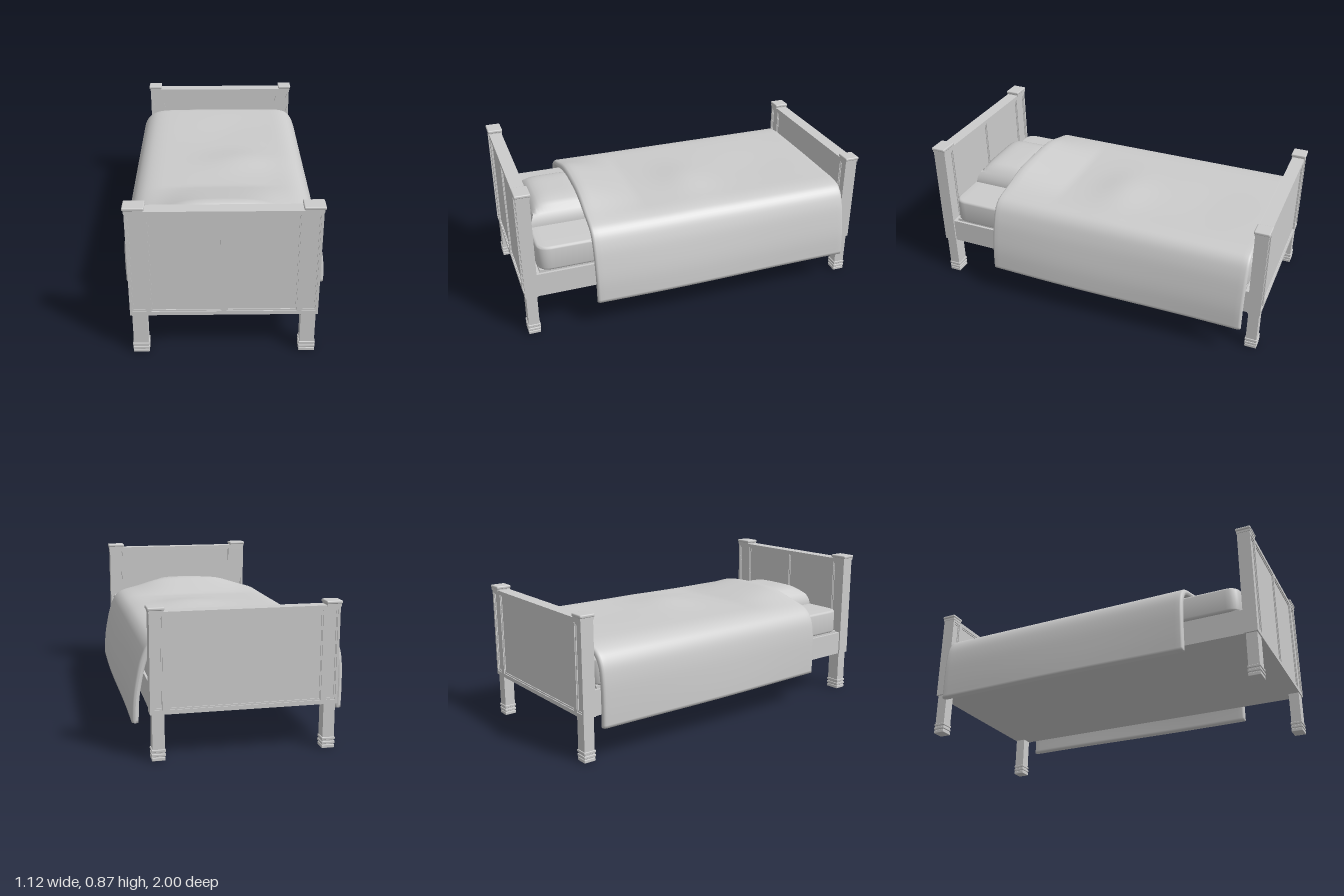
import * as THREE from 'three';
import { RoundedBoxGeometry } from 'three/addons/geometries/RoundedBoxGeometry.js';
import { toCreasedNormals } from 'three/addons/utils/BufferGeometryUtils.js';

const material = new THREE.MeshStandardMaterial({ color: 0xcccccc });

function add(parent, name, geometry, x = 0, y = 0, z = 0) {
  const mesh = new THREE.Mesh(geometry, material);
  mesh.name = name;
  mesh.position.set(x, y, z);
  parent.add(mesh);
  return mesh;
}

function rectPath(path, x0, y0, x1, y1) {
  path.moveTo(x0, y0);
  path.lineTo(x1, y0);
  path.lineTo(x1, y1);
  path.lineTo(x0, y1);
  path.closePath();
  return path;
}

// Flat frame with rectangular openings, centred on its depth
function frameGeometry(half, y0, y1, openings, inset, depth) {
  const shape = rectPath(new THREE.Shape(), -half, y0, half, y1);
  for (const [a, b] of openings) {
    shape.holes.push(rectPath(new THREE.Path(), a + inset, y0 + 0.022 + inset, b - inset, y1 - 0.022 - inset));
  }
  return new THREE.ExtrudeGeometry(shape, { depth, bevelEnabled: false }).translate(0, 0, -depth / 2);
}

// Panelled end board with posts, caps and banded feet
function endBoard(name, z, top, panels, post) {
  const board = new THREE.Group();
  board.name = name;
  board.position.z = z;
  const half = 0.483, bottom = 0.24;
  const openings = [[-0.47, -0.47 + post.recess], ...panels, [0.47 - post.recess, 0.47]];
  add(board, 'frame', frameGeometry(half, bottom, top, openings, 0, 0.072));
  add(board, 'panelMoulding', frameGeometry(half - 0.002, bottom + 0.002, top - 0.002, openings, 0.006, 0.062));
  add(board, 'panel', new THREE.BoxGeometry(0.95, top - bottom - 0.02, 0.052), 0, (top + bottom) / 2);
  for (const s of [-1, 1]) {
    const legX = s * (0.473 - post.leg / 2);
    const capX = s * (0.492 - post.cap / 2);
    add(board, 'leg', new THREE.BoxGeometry(post.leg, 0.26, 0.06), legX, 0.13);
    // Bands around the foot: centre height, height, overhang
    for (const [y, h, o] of [[0.009, 0.018, 0.007], [0.03, 0.014, 0.01], [0.052, 0.014, 0.01]]) {
      add(board, 'footBand', new RoundedBoxGeometry(post.leg + o, h, 0.06 + o, 1, 0.003), legX, y);
    }
    add(board, 'capNeck', new THREE.BoxGeometry(post.cap - 0.012, 0.014, 0.078), capX, top);
    add(board, 'cap', new RoundedBoxGeometry(post.cap, 0.017, 0.085, 2, 0.006), capX, top + 0.0145);
  }
  return board;
}

// Slab with rounded plan corners and softened top and bottom edges
function slabGeometry(w, h, d, r, bevel) {
  const x = w / 2 - bevel, z = d / 2 - bevel;
  const s = new THREE.Shape();
  s.moveTo(-x + r, -z);
  s.lineTo(x - r, -z);
  s.quadraticCurveTo(x, -z, x, -z + r);
  s.lineTo(x, z - r);
  s.quadraticCurveTo(x, z, x - r, z);
  s.lineTo(-x + r, z);
  s.quadraticCurveTo(-x, z, -x, z - r);
  s.lineTo(-x, -z + r);
  s.quadraticCurveTo(-x, -z, -x + r, -z);
  const g = new THREE.ExtrudeGeometry(s, {
    depth: h - 2 * bevel, bevelThickness: bevel, bevelSize: bevel, bevelSegments: 3, curveSegments: 6,
  });
  g.translate(0, 0, -(h - 2 * bevel) / 2).rotateX(-Math.PI / 2);
  return toCreasedNormals(g, 0.7);
}

// Pillow: a boxy block whose top swells and whose edges taper
function pillowGeometry(w, h, d) {
  const g = new RoundedBoxGeometry(w, h, d, 6, 0.03);
  const flat = new THREE.BoxGeometry(1, 1, 1, 16, 6, 16);
  const p = flat.attributes.position;
  for (let i = 0; i < p.count; i++) {
    const x = p.getX(i) * 2, y = p.getY(i) + 0.5, z = p.getZ(i) * 2;
    const dome = Math.pow((1 - Math.pow(Math.abs(x), 4)) * (1 - Math.pow(Math.abs(z), 4)), 0.6);
    const taper = 1 - 0.1 * y * y;
    p.setXYZ(i, x * w / 2 * taper, y * h * (0.55 + 0.45 * dome), z * d / 2 * taper);
  }
  g.dispose();
  return toCreasedNormals(flat, 0.8);
}

// Draped blanket: a thick cross-section swept along z, raised over the pillow
function blanketGeometry() {
  const outline = new THREE.SplineCurve([
    [-0.557, 0.188], [-0.557, 0.3], [-0.551, 0.43], [-0.532, 0.52], [-0.488, 0.577], [-0.41, 0.604],
    [-0.25, 0.61], [0, 0.612], [0.25, 0.61], [0.4, 0.606], [0.468, 0.572], [0.507, 0.495],
    [0.533, 0.39], [0.549, 0.29], [0.555, 0.178],
  ].map(([x, y]) => new THREE.Vector2(x, y)));
  const N = 70, rings = 56, z0 = -0.91, z1 = 0.612;
  const thick = 0.036, count = 2 * (N + 1);
  const outer = [], inward = [];
  for (let k = 0; k <= N; k++) {
    const t = outline.getTangent(k / N);
    outer.push(outline.getPoint(k / N));
    inward.push(new THREE.Vector2(t.y, -t.x));
  }
  const lift = (x, z) => {
    const rise = THREE.MathUtils.clamp((z - 0.28) / 0.3, 0, 1);
    const drop = THREE.MathUtils.clamp((z - 0.58) / 0.03, 0, 1);
    return (0.072 * rise - 0.012 * drop) * Math.exp(-Math.pow((x + 0.015) / 0.32, 4))
      + 0.022 * Math.exp(-(((x - 0.1) / 0.2) ** 2) - ((z + 0.05) / 0.15) ** 2)
      - 0.008 * Math.exp(-(((x - 0.05) / 0.2) ** 2) - ((z + 0.55) / 0.2) ** 2);
  };
  // Ring positions are crowded at both ends, where the hem rounds off
  const stations = [[z0, 0], [z0 + 0.002, 0.5], [z0 + 0.007, 0.85], [z0 + 0.016, 1]];
  for (let i = 1; i < rings; i++) stations.push([z0 + 0.016 + (z1 - z0 - 0.032) * i / rings, 1]);
  stations.push([z1 - 0.016, 1], [z1 - 0.007, 0.85], [z1 - 0.002, 0.5], [z1, 0]);
  const pos = [], idx = [];
  stations.forEach(([z, f], i) => {
    for (let j = 0; j < count; j++) {
      const isOuter = j <= N;
      const k = isOuter ? j : count - 1 - j;
      const depth = thick / 2 * (isOuter ? 1 - f : 1 + f);
      const o = outer[k];
      const side = THREE.MathUtils.clamp((0.5 - o.y) / 0.3, 0, 1);
      const wave = side * 0.005 * Math.sin(z * 4 + o.x * 2);
      const zEdge = z - 0.01 * Math.max(0, z) * Math.exp(-((o.x / 0.3) ** 2));
      pos.push(o.x + inward[k].x * depth + wave, o.y + inward[k].y * depth + lift(o.x, z), zEdge);
      if (i < stations.length - 1) {
        const a = i * count + j, b = i * count + (j + 1) % count;
        idx.push(a, a + count, b, b, a + count, b + count);
      }
    }
  });
  const g = new THREE.BufferGeometry();
  g.setAttribute('position', new THREE.Float32BufferAttribute(pos, 3));
  g.setIndex(idx);
  g.computeVertexNormals();
  return g;
}

export function createModel() {
  const model = new THREE.Group();
  model.name = 'bed';
  const frame = new THREE.Group();
  frame.name = 'bedFrame';
  frame.position.x = -0.0115;
  model.add(frame);

  // Head and foot boards
  frame.add(endBoard('headboard', 0.9575, 0.849, [[-0.373, -0.013], [0.013, 0.373]], { recess: 0.072, leg: 0.077, cap: 0.108 }));
  frame.add(endBoard('footboard', -0.9575, 0.752, [[-0.393, 0.393]], { recess: 0.05, leg: 0.062, cap: 0.085 }));

  // Base and mattress
  add(frame, 'base', new THREE.BoxGeometry(0.95, 0.137, 1.85), 0, 0.3085, 0);
  add(frame, 'baseLip', new THREE.BoxGeometry(0.92, 0.02, 1.8), 0, 0.383, 0);
  add(frame, 'mattress', slabGeometry(0.948, 0.142, 1.81, 0.06, 0.014), 0, 0.46, 0);

  // Bedding
  add(frame, 'pillow', pillowGeometry(0.478, 0.127, 0.38), -0.004, 0.528, 0.698);
  add(model, 'blanket', blanketGeometry());
  return model;
}
